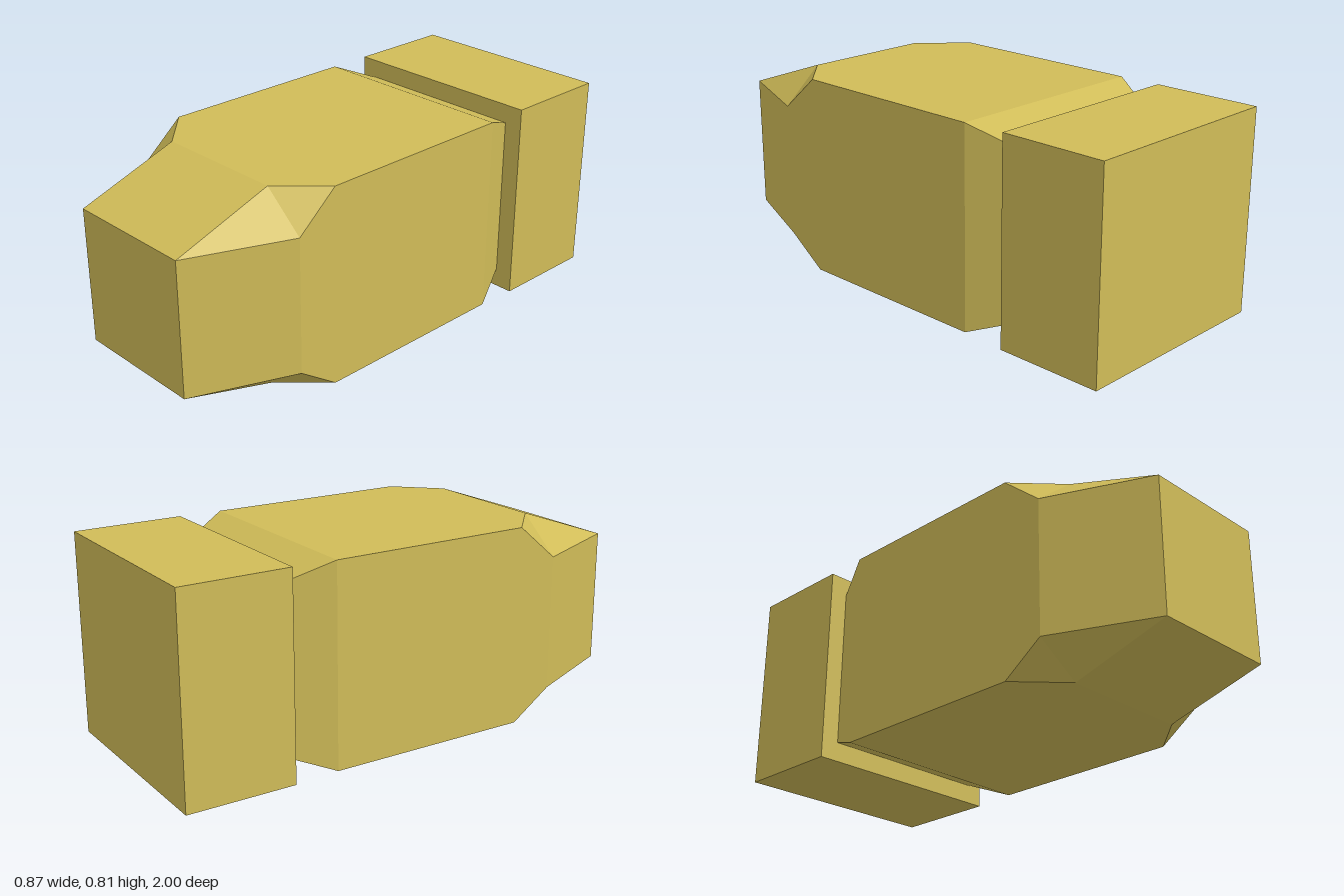
import * as THREE from 'three';

const W = 0.435, Y0 = 0.01, Y1 = 0.805;          // body half width, bottom, top
const L = -0.26, R = 0.275, B = 0.125, T = 0.665; // nose face limits

// Eight-point section, counter-clockwise from the front: each corner is a pair of points.
// Inner limits (l, r, b, t) cut the corners of the outer rectangle (half width w, y0 to y1).
const section = (z, w, y0, y1, l, r, b, t) => [
  [r, y0, z], [w, b, z], [w, t, z], [r, y1, z],
  [l, y1, z], [-w, t, z], [-w, b, z], [l, y0, z],
];
const rectangle = (z, x0, x1, y0, y1) => [
  [x1, y0, z], [x1, y0, z], [x1, y1, z], [x1, y1, z],
  [x0, y1, z], [x0, y1, z], [x0, y0, z], [x0, y0, z],
];

// Skin the sections from front to back and cap both ends, with flat faces
function loft(sections) {
  const positions = [];
  const tri = (a, b, c) => {
    const [p, q, s] = [a, b, c].map((v) => new THREE.Vector3(...v));
    if (q.clone().sub(p).cross(s.clone().sub(p)).length() > 1e-6) positions.push(...a, ...b, ...c);
  };
  for (let k = 0; k < sections.length - 1; k++) {
    const f = sections[k], g = sections[k + 1];
    for (let i = 0; i < 8; i++) {
      const j = (i + 1) % 8;
      tri(f[i], g[i], g[j]);
      tri(f[i], g[j], f[j]);
    }
  }
  const first = sections[0], last = sections[sections.length - 1];
  for (let i = 1; i < 7; i++) {
    tri(first[0], first[i], first[i + 1]);
    tri(last[0], last[i + 1], last[i]);
  }
  const geometry = new THREE.BufferGeometry();
  geometry.setAttribute('position', new THREE.Float32BufferAttribute(positions, 3));
  geometry.computeVertexNormals();
  return geometry;
}

export function createModel() {
  const group = new THREE.Group();
  const material = new THREE.MeshStandardMaterial({ color: 0xd0bc58, flatShading: true });

  // Body: small nose face, bevelled shoulders, straight middle, tapered neck
  const body = new THREE.Mesh(loft([
    rectangle(1, L, R, B, T),
    section(0.6, W, Y0, Y1, L, R, B, T),
    rectangle(0.435, -W, W, Y0, Y1),
    rectangle(-0.39, -W, W, Y0, Y1),
    rectangle(-0.57, -0.355, 0.355, 0.08, 0.73),
  ]), material);
  body.name = 'body';
  group.add(body);

  // Rear block
  const rear = new THREE.Mesh(new THREE.BoxGeometry(0.865, 0.807, 0.435), material);
  rear.name = 'rearBlock';
  rear.position.set(0, 0.4035, -0.7825);
  group.add(rear);

  return group;
}
